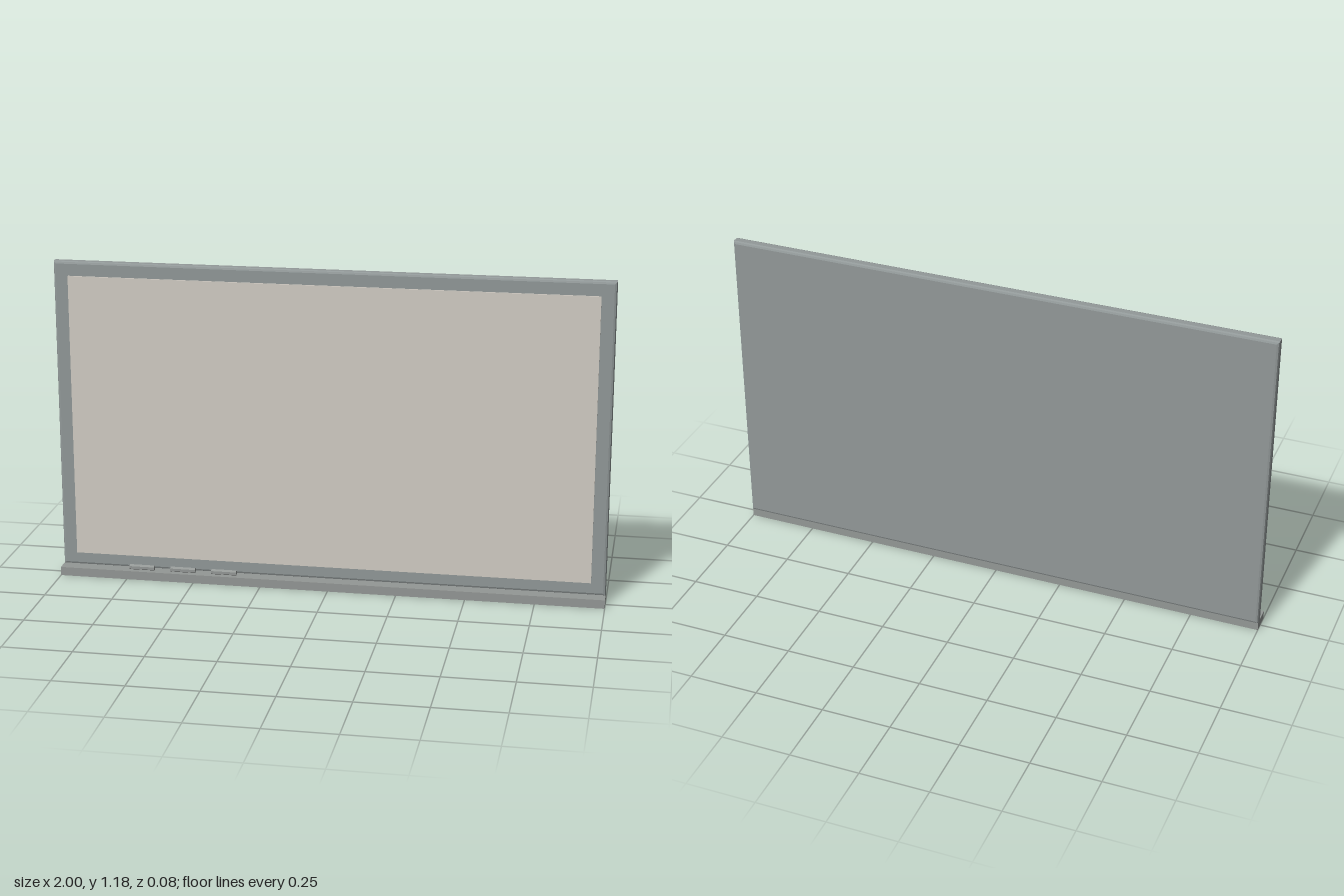
import * as THREE from 'three';

const paint = (name, color) => {
  const m = new THREE.MeshStandardMaterial({ color });
  m.name = name;
  m.flatShading = true;
  return m;
};

export function createModel() {
  const model = new THREE.Group();
  model.name = 'wallBoard';
  const frameGrey = paint('frame grey', 0x929999);
  const trayGrey = paint('tray grey', 0x949896);
  const boardCream = paint('board cream', 0xd2cdc4);

  const add = (name, geometry, material, x, y, z) => {
    const mesh = new THREE.Mesh(geometry, material);
    mesh.name = name;
    mesh.position.set(x, y, z);
    model.add(mesh);
    return mesh;
  };

  // Backing slab with small bevels all around
  const bevel = 0.009, bottom = 0.031, top = 1.177, depth = 0.039;
  const x = 1 - bevel, y0 = bottom + bevel, y1 = top - bevel;
  const outline = new THREE.Shape([
    new THREE.Vector2(-x, y0), new THREE.Vector2(x, y0),
    new THREE.Vector2(x, y1), new THREE.Vector2(-x, y1),
  ]);
  const slab = new THREE.ExtrudeGeometry(outline, {
    depth: depth - 2 * bevel, bevelEnabled: true,
    bevelThickness: bevel, bevelSize: bevel, bevelSegments: 2,
  });
  add('frame', slab, frameGrey, 0, 0, -depth + bevel - 0.001);

  // Writing surface, slightly proud of the frame
  add('writingSurface', new THREE.BoxGeometry(1.894, 1.046, 0.009), boardCream, 0, 0.602, 0);

  // Ledge under the board
  add('tray', new THREE.BoxGeometry(2, 0.032, 0.075), trayGrey, 0, 0.016, 0.0055);

  // Markers lying on the ledge
  for (const mx of [-0.696, -0.542, -0.388]) {
    const marker = add('marker', new THREE.CylinderGeometry(0.01, 0.01, 0.093, 6), trayGrey, mx, 0.041, 0.019);
    marker.rotation.set(Math.PI / 2, 0, Math.PI / 2);
  }
  return model;
}
